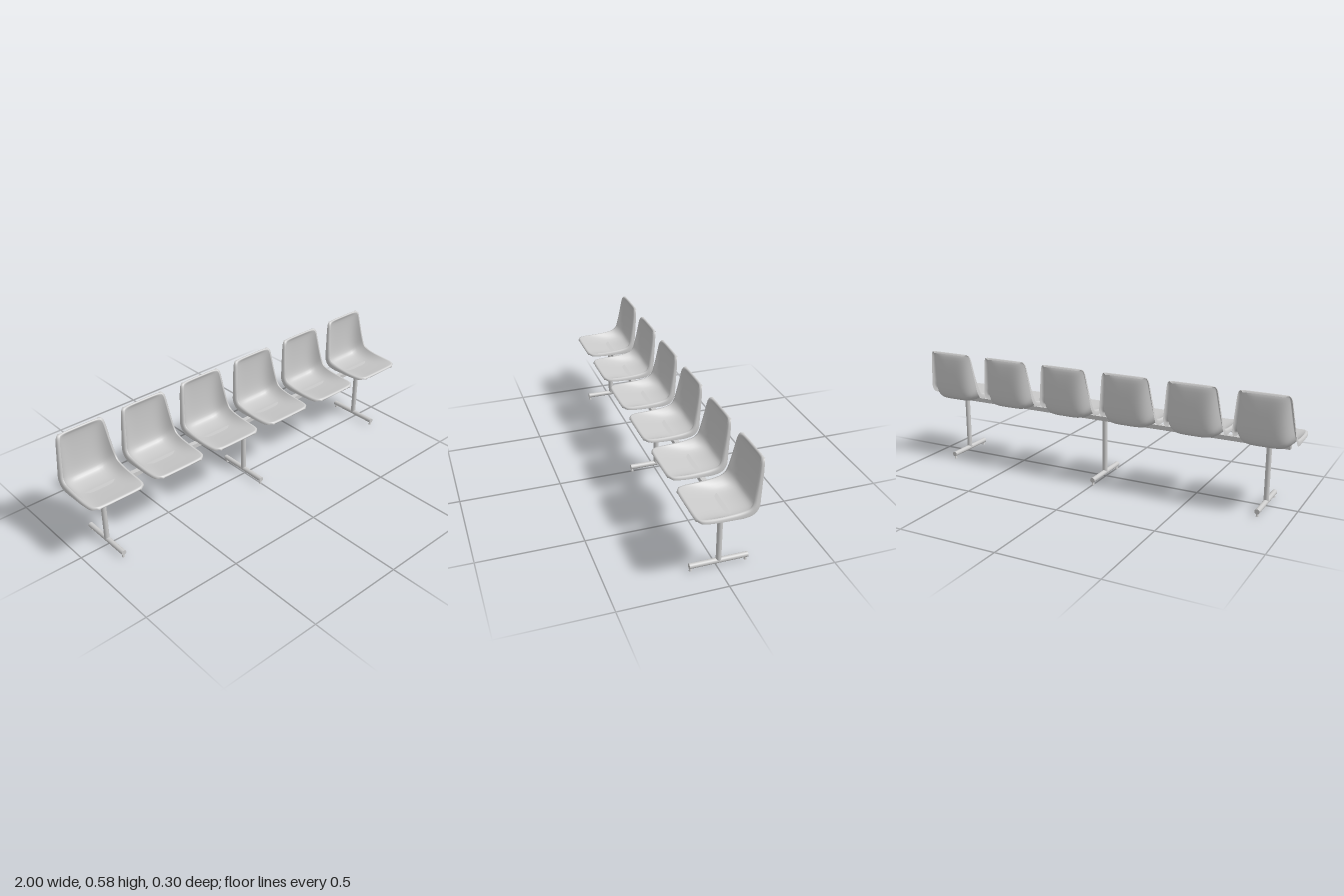
import * as THREE from 'three';

const steel = new THREE.MeshStandardMaterial({ color: 0xcccccc });
const plastic = new THREE.MeshStandardMaterial({ color: 0xcccccc, side: THREE.DoubleSide });

// Shell stations from front lip to top lip:
// centre z, y | rim z, y | half width | rim flange dz, dy
const STATIONS = [
  [0.143, 0.338, 0.143, 0.338, 0.100, 0, 0],
  [0.150, 0.345, 0.149, 0.345, 0.108, 0, -0.004],
  [0.143, 0.352, 0.142, 0.353, 0.120, 0, -0.009],
  [0.130, 0.350, 0.130, 0.354, 0.135, 0, -0.013],
  [0.105, 0.344, 0.105, 0.354, 0.143, 0, -0.014],
  [0.060, 0.334, 0.060, 0.354, 0.146, 0, -0.016],
  [0.000, 0.322, 0.000, 0.357, 0.147, -0.002, -0.020],
  [-0.045, 0.317, -0.045, 0.363, 0.148, -0.008, -0.026],
  [-0.090, 0.320, -0.075, 0.373, 0.149, -0.018, -0.024],
  [-0.122, 0.332, -0.090, 0.392, 0.148, -0.025, -0.012],
  [-0.137, 0.360, -0.097, 0.420, 0.143, -0.024, 0],
  [-0.143, 0.420, -0.107, 0.470, 0.136, -0.020, 0],
  [-0.144, 0.500, -0.117, 0.530, 0.128, -0.017, 0],
  [-0.141, 0.560, -0.123, 0.565, 0.122, -0.014, 0],
  [-0.134, 0.580, -0.130, 0.580, 0.114, -0.010, 0],
  [-0.142, 0.585, -0.140, 0.584, 0.104, -0.006, -0.002],
  [-0.149, 0.577, -0.148, 0.576, 0.098, 0, 0],
];

// Catmull-Rom blend of whole stations
function station(i, t) {
  const at = (k) => STATIONS[Math.min(Math.max(k, 0), STATIONS.length - 1)];
  const [a, b, c, d] = [at(i - 1), at(i), at(i + 1), at(i + 2)];
  return b.map((_, k) => b[k] + 0.5 * t * (c[k] - a[k]
    + t * (2 * a[k] - 5 * b[k] + 4 * c[k] - d[k]
    + t * (3 * (b[k] - c[k]) + d[k] - a[k]))));
}

// One cross-section: shallow dish with a flange folded back at each side
function section([cz, cy, ez, ey, w, fz, fy]) {
  const points = [];
  const inner = w - 0.012;
  const flange = (side, out, fold) => [side * (inner + out), ey + fy * fold, ez + fz * fold];
  points.push(flange(-1, 0.012, 1), flange(-1, 0.012, 0.4), flange(-1, 0.007, 0.08));
  const n = 10;
  for (let i = -n; i <= n; i++) {
    const u = Math.sin((i / n) * Math.PI / 2);
    const f = Math.pow(Math.abs(u), 5);
    points.push([inner * u, cy + (ey - cy) * f, cz + (ez - cz) * f]);
  }
  points.push(flange(1, 0.007, 0.08), flange(1, 0.012, 0.4), flange(1, 0.012, 1));
  return points;
}

function shellGeometry() {
  const rows = [];
  const steps = 3;
  for (let i = 0; i < STATIONS.length - 1; i++) {
    for (let s = 0; s < steps; s++) rows.push(section(station(i, s / steps)));
  }
  rows.push(section(STATIONS[STATIONS.length - 1]));
  const cols = rows[0].length;
  const index = [];
  for (let r = 0; r < rows.length - 1; r++) {
    for (let c = 0; c < cols - 1; c++) {
      const a = r * cols + c;
      index.push(a, a + 1, a + cols + 1, a, a + cols + 1, a + cols);
    }
  }
  const geometry = new THREE.BufferGeometry();
  geometry.setAttribute('position', new THREE.Float32BufferAttribute(rows.flat(2), 3));
  geometry.setIndex(index);
  geometry.computeVertexNormals();
  return geometry;
}

function addPart(parent, name, geometry, x, y, z) {
  const mesh = new THREE.Mesh(geometry, steel);
  mesh.name = name;
  mesh.position.set(x, y, z);
  parent.add(mesh);
  return mesh;
}

// Post on a round floor bar with two small feet
function createLeg() {
  const leg = new THREE.Group();
  leg.name = 'leg';
  addPart(leg, 'post', new THREE.CylinderGeometry(0.0125, 0.0125, 0.275, 24), 0, 0.1635, -0.01);
  const bar = addPart(leg, 'floorBar', new THREE.CylinderGeometry(0.0125, 0.0125, 0.275, 24), 0, 0.025, -0.0105);
  bar.rotation.x = Math.PI / 2;
  for (const z of [0.12, -0.139]) {
    addPart(leg, 'foot', new THREE.CylinderGeometry(0.0035, 0.0075, 0.015, 16), 0, 0.0075, z);
  }
  return leg;
}

export function createModel() {
  const bench = new THREE.Group();
  bench.name = 'beamSeating';

  // Row of six identical shells
  const shell = shellGeometry();
  for (let i = 0; i < 6; i++) {
    const seat = new THREE.Mesh(shell, plastic);
    seat.name = 'seatShell';
    seat.position.x = (i - 2.5) * 0.3405;
    bench.add(seat);
  }

  // Beam carrying the seats
  addPart(bench, 'beam', new THREE.BoxGeometry(1.9, 0.022, 0.025), 0, 0.311, -0.01);

  for (const x of [-0.85, 0, 0.85]) {
    const leg = createLeg();
    leg.position.x = x;
    bench.add(leg);
  }
  return bench;
}
